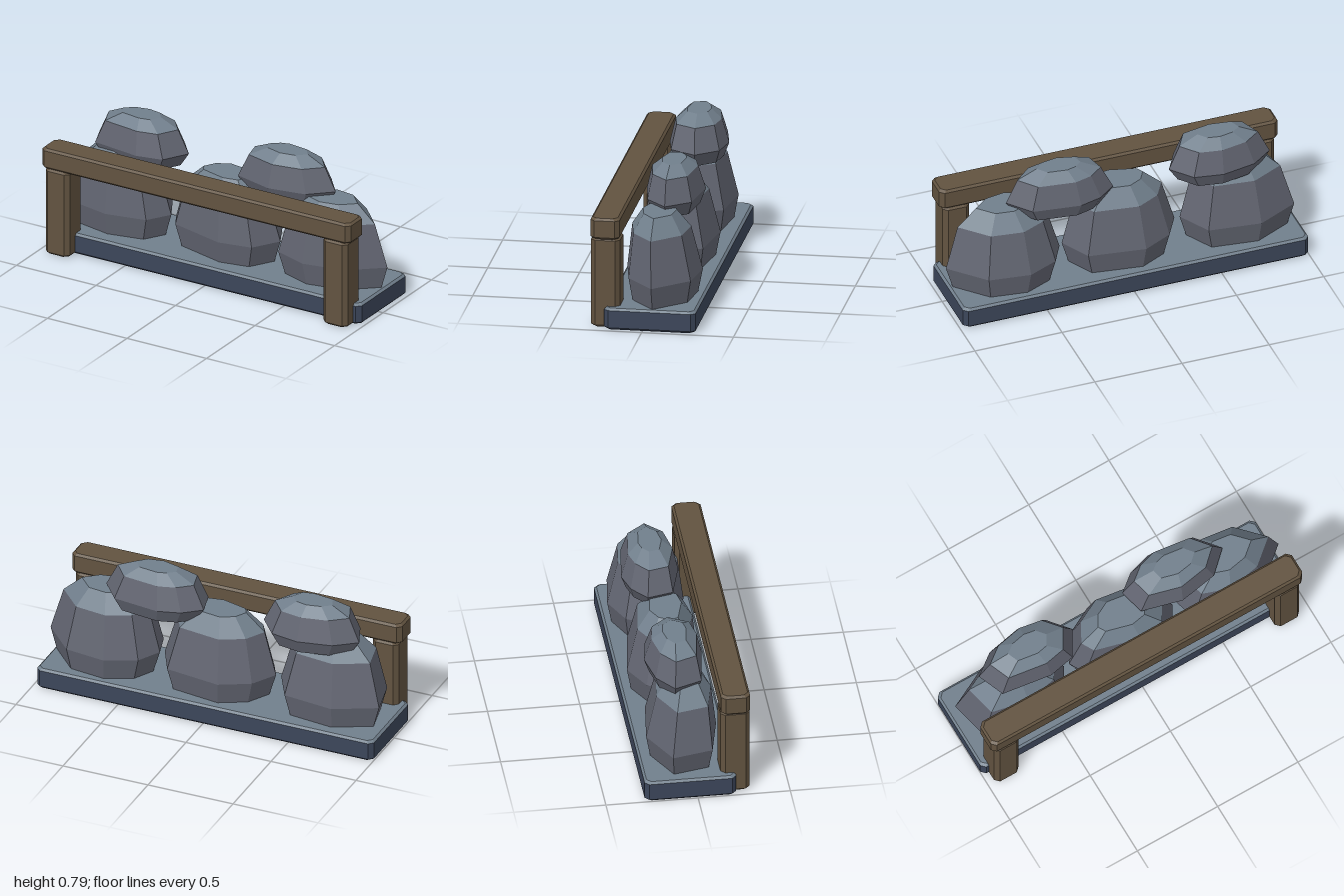
import * as THREE from 'three';

const material = (color) => new THREE.MeshStandardMaterial({ color, flatShading: true });

// Flat-shaded skin through horizontal rings (bottom to top), with optional end caps
function loft(rings, capBottom, capTop) {
  const pos = [];
  const tri = (...pts) => pts.forEach((p) => pos.push(...p));
  const n = rings[0].length;
  const centre = (ring) => [0, 1, 2].map((k) => ring.reduce((s, p) => s + p[k], 0) / n);
  const first = rings[0], last = rings[rings.length - 1];
  for (let i = 0; i < n; i++) {
    const j = (i + 1) % n;
    for (let r = 0; r < rings.length - 1; r++) {
      const lo = rings[r], hi = rings[r + 1];
      tri(lo[i], hi[i], hi[j]);
      tri(lo[i], hi[j], lo[j]);
    }
    if (capBottom) tri(centre(first), first[i], first[j]);
    if (capTop) tri(centre(last), last[j], last[i]);
  }
  const g = new THREE.BufferGeometry();
  g.setAttribute('position', new THREE.Float32BufferAttribute(pos, 3));
  g.computeVertexNormals();
  return g;
}

// Body and cap share the rings; the top band gets its own colour
function twoTone(name, rings, bodyMat, capMat) {
  const group = new THREE.Group();
  group.name = name;
  const k = rings.length - 2;
  const body = new THREE.Mesh(loft(rings.slice(0, k + 1), true, false), bodyMat);
  const cap = new THREE.Mesh(loft(rings.slice(k), false, true), capMat);
  body.name = name + 'Body';
  cap.name = name + 'Top';
  group.add(body, cap);
  return group;
}

// Rings of a box with cut vertical corners and bevelled top and bottom
function beamRings([x0, x1], [y0, y1], [z0, z1], cut = 0.024, bevel = 0.012) {
  const ring = (y, d) => {
    const a = x0 + d, b = x1 - d, c = z0 + d, e = z1 - d;
    return [[a, c + cut], [a + cut, c], [b - cut, c], [b, c + cut],
      [b, e - cut], [b - cut, e], [a + cut, e], [a, e - cut]].map(([x, z]) => [x, y, z]);
  };
  return [ring(y0, bevel), ring(y0 + bevel, 0), ring(y1 - bevel, 0), ring(y1, bevel)];
}

// Rings of a boulder: its widest outline scaled at each level [y, scale, forward shift]
function rockRings(outline, levels) {
  const mid = (k) => {
    const v = outline.map((p) => p[k]);
    return (Math.min(...v) + Math.max(...v)) / 2;
  };
  const cx = mid(0), cz = mid(1);
  return levels.map(([y, s, dz]) =>
    outline.map(([x, z]) => [cx + (x - cx) * s, y, cz + (z - cz) * s + dz]));
}

export function createModel() {
  const model = new THREE.Group();
  model.name = 'stoneRack';
  const wood = material(0x625340);
  const slabSide = material(0x3c465a);
  const rockSide = material(0x626571);
  const stoneTop = material(0x717f8c);

  // Stone slab
  model.add(twoTone('slab', beamRings([-1, 0.98], [0, 0.12], [-0.287, 0.21]), slabSide, stoneTop));

  // Wooden posts and rail
  const addBeam = (name, ...ranges) => {
    const mesh = new THREE.Mesh(loft(beamRings(...ranges), true, true), wood);
    mesh.name = name;
    model.add(mesh);
  };
  addBeam('rightPost', [-0.96, -0.808], [0, 0.5], [0.13, 0.288]);
  addBeam('leftPost', [0.788, 0.94], [0, 0.5], [0.13, 0.288]);
  addBeam('rail', [-0.98, 0.96], [0.498, 0.616], [0.13, 0.288]);

  // Boulders, given by their widest outlines (x, z)
  const low = [[0.095, 0.86, 0], [0.246, 1, 0], [0.49, 0.78, 0.015], [0.587, 0.45, 0.02]];
  const high = [[0.527, 0.82, 0], [0.605, 1, 0], [0.735, 0.78, 0.005], [0.785, 0.41, 0.005]];
  const rocks = [
    ['lowerRightRock', low, [[-0.97, -0.13], [-0.74, -0.245], [-0.45, -0.21], [-0.35, -0.03],
      [-0.43, 0.1], [-0.66, 0.145], [-0.92, 0.09]]],
    ['lowerMiddleRock', low, [[-0.32, -0.03], [-0.24, -0.17], [-0.075, -0.255], [0.24, -0.21],
      [0.33, -0.04], [0.24, 0.11], [0.05, 0.145], [-0.27, 0.06]]],
    ['lowerLeftRock', low, [[0.35, -0.06], [0.42, -0.19], [0.59, -0.267], [0.82, -0.237],
      [0.997, -0.05], [0.82, 0.1], [0.58, 0.145], [0.39, 0.08]]],
    ['upperRightRock', high, [[-0.84, -0.1], [-0.72, -0.19], [-0.53, -0.228], [-0.37, -0.2],
      [-0.27, -0.08], [-0.35, 0.06], [-0.5, 0.09], [-0.78, 0.05]]],
    ['upperLeftRock', high, [[0.065, -0.12], [0.165, -0.2], [0.29, -0.235], [0.555, -0.2],
      [0.66, -0.07], [0.54, 0.043], [0.325, 0.08], [0.1, 0.02]]],
  ];
  for (const [name, levels, outline] of rocks) {
    model.add(twoTone(name, rockRings(outline, levels), rockSide, stoneTop));
  }
  return model;
}
